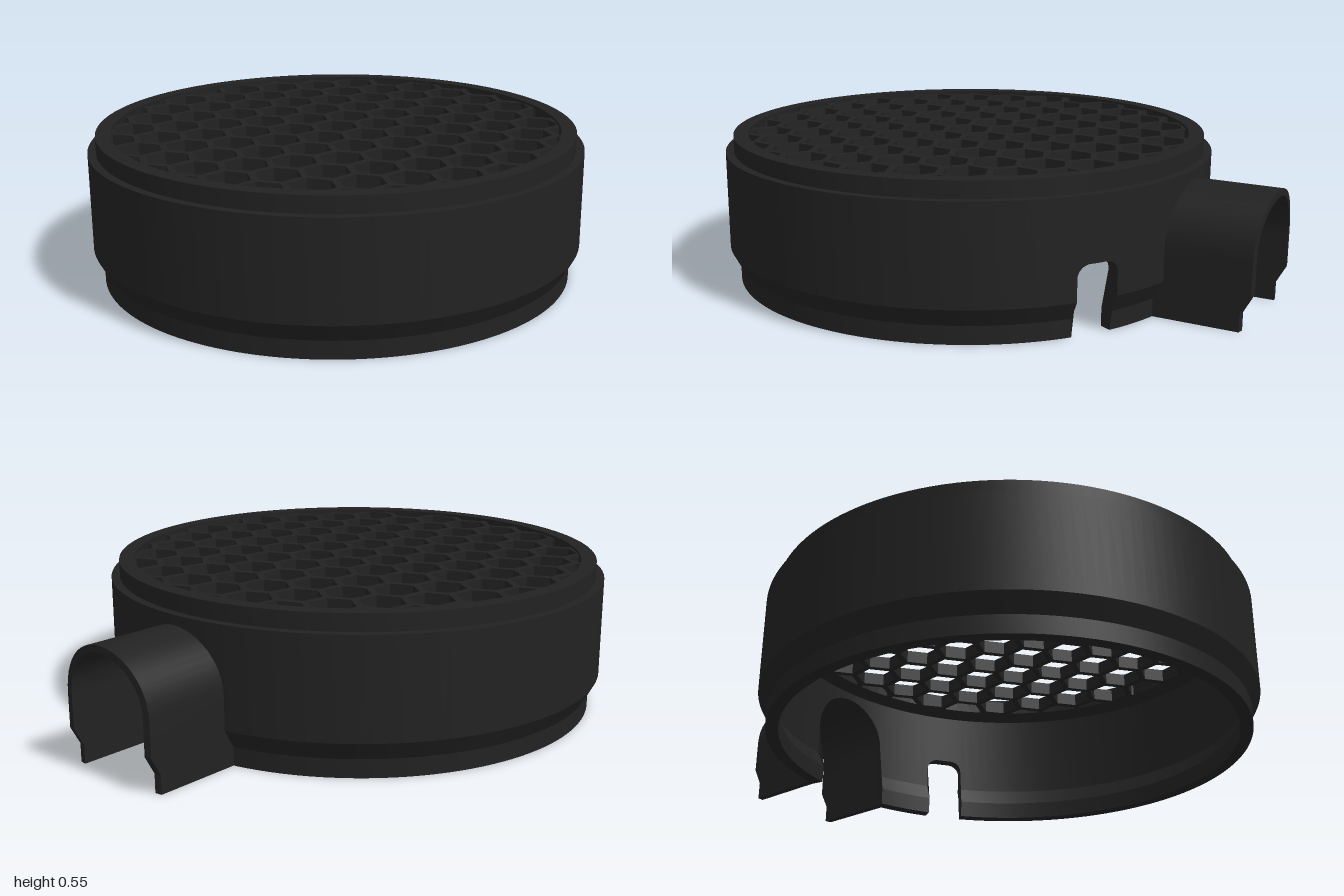
import * as THREE from 'three';
import { toCreasedNormals } from 'three/addons/utils/BufferGeometryUtils.js';

const CX = -0.09;                       // ring axis
const SPOUT = THREE.MathUtils.degToRad(36.5);
const SLOT = THREE.MathUtils.degToRad(4.8);
const ARCH_Y = 0.25, ARCH_OUT = 0.2, ARCH_IN = 0.175;

// wall profiles as [radius, height]
const OUTER = [[0.875, 0], [0.875, 0.065], [0.91, 0.13], [0.91, 0.485], [0.88, 0.485], [0.88, 0.545]];
const INNER = [[0.83, 0], [0.83, 0.065], [0.862, 0.13], [0.862, 0.455], [0.828, 0.485], [0.825, 0.545]];

function radiusAt(profile, y) {
  for (let i = 1; i < profile.length; i++) {
    const [r0, y0] = profile[i - 1], [r1, y1] = profile[i];
    if (y <= y1 && y1 > y0) return r0 + (r1 - r0) * (y - y0) / (y1 - y0);
  }
  return profile[profile.length - 1][0];
}

// skin a row of closed cross-sections, either joined in a circle or capped
function loft(loops, closed) {
  const pos = [];
  const tri = (a, b, c) => {
    const area = b.clone().sub(a).cross(c.clone().sub(a)).length();
    if (area > 1e-8) for (const p of [a, b, c]) pos.push(p.x, p.y, p.z);
  };
  const n = loops.length, m = loops[0].length;
  for (let i = 0; i < (closed ? n : n - 1); i++) {
    const A = loops[i], B = loops[(i + 1) % n];
    for (let j = 0; j < m; j++) {
      const k = (j + 1) % m;
      tri(A[j], B[j], A[k]);
      tri(B[j], B[k], A[k]);
    }
  }
  if (!closed) {
    const S = loops[0], E = loops[n - 1];
    for (let j = 1; j < m - 1; j++) {
      tri(S[0], S[j], S[j + 1]);
      tri(E[0], E[j + 1], E[j]);
    }
  }
  const g = new THREE.BufferGeometry();
  g.setAttribute('position', new THREE.Float32BufferAttribute(pos, 3));
  return toCreasedNormals(g, 0.35);
}

// ring wall, its lower edge raised to form the spout arch and the small slot
function ringGeometry() {
  const stations = [];
  const opening = (centre, halfWidth, height) => {
    const half = Math.asin(halfWidth / 0.88), steps = 20;
    stations.push([centre - half, 0]);
    for (let i = 0; i <= steps; i++) {
      const u = -Math.cos(Math.PI * i / steps);
      stations.push([centre + half * u, height(Math.abs(u) * halfWidth)]);
    }
    stations.push([centre + half, 0]);
    return half;
  };
  const archHalf = Math.asin(ARCH_IN / 0.88);
  const slotHalf = opening(SLOT, 0.075, u =>
    0.21 + Math.sqrt(Math.max(0, 0.045 ** 2 - Math.max(0, u - 0.03) ** 2)));
  for (let i = 1; i < 6; i++) {
    const a = SLOT + slotHalf, b = SPOUT - archHalf;
    stations.push([a + (b - a) * i / 6, 0]);
  }
  opening(SPOUT, ARCH_IN, u => ARCH_Y + Math.sqrt(Math.max(0, ARCH_IN ** 2 - u * u)));
  const start = SPOUT + archHalf, end = SLOT - slotHalf + Math.PI * 2;
  for (let i = 1; i < 120; i++) stations.push([start + (end - start) * i / 120, 0]);

  const loops = stations.map(([phi, h]) => {
    const clip = profile => profile.map(([r, y]) => y >= h ? [r, y] : [radiusAt(profile, h), h]);
    return [...clip(OUTER), ...clip(INNER).reverse()].map(([r, y]) =>
      new THREE.Vector3(CX + r * Math.cos(phi), y, -r * Math.sin(phi)));
  });
  return loft(loops, true);
}

// arched tunnel with open ends and open underside, its tip following the wall profile
function spoutGeometry() {
  const c = Math.cos(SPOUT), s = Math.sin(SPOUT);
  const point = (u, y, r) => {
    const a = Math.sqrt(r * r - u * u);
    return new THREE.Vector3(CX + a * c - u * s, y, -a * s - u * c);
  };
  const path = [[-1, 0, 0], [-1, 0, 0.065], [-1, 0, 0.13]];   // side, rise, base height
  for (let i = 0; i <= 24; i++) {
    const t = Math.PI * i / 24;
    path.push([-Math.cos(t), Math.sin(t), ARCH_Y]);
  }
  path.push([1, 0, 0.13], [1, 0, 0.065], [1, 0, 0]);
  const loops = path.map(([side, rise, base]) => {
    const uo = side * ARCH_OUT, yo = base + rise * ARCH_OUT;
    const ui = side * ARCH_IN, yi = base + rise * ARCH_IN;
    const tip = y => radiusAt(OUTER, y) + 0.3, root = y => radiusAt(INNER, y) + 0.015;
    return [point(uo, yo, tip(yo)), point(uo, yo, root(yo)), point(ui, yi, root(yi)), point(ui, yi, tip(yi))];
  });
  return loft(loops, false);
}

// trim a convex polygon to a circle
function clipToCircle(poly, R) {
  const sides = 96;
  for (let k = 0; k < sides && poly.length; k++) {
    const t = Math.PI * 2 * k / sides, nx = Math.cos(t), ny = Math.sin(t);
    const out = [];
    poly.forEach((p, i) => {
      const q = poly[(i + 1) % poly.length];
      const dp = p.x * nx + p.y * ny - R, dq = q.x * nx + q.y * ny - R;
      if (dp <= 0) out.push(p);
      if (dp * dq < 0) out.push(p.clone().lerp(q, dp / (dp - dq)));
    });
    poly = out;
  }
  return poly;
}

// round plate pierced by a honeycomb
function meshGeometry() {
  const pitch = 0.163, hole = (pitch - 0.024) / Math.sqrt(3);
  const plate = new THREE.Shape().absarc(0, 0, 0.845, 0, Math.PI * 2);
  for (let row = -6; row <= 6; row++) {
    for (let col = -6; col <= 6; col++) {
      const x = (col + (row & 1 ? 0.5 : 0)) * pitch, y = row * pitch * Math.sqrt(3) / 2;
      const hex = [];
      for (let i = 0; i < 6; i++) {
        const t = Math.PI / 6 + i * Math.PI / 3;
        hex.push(new THREE.Vector2(x + hole * Math.cos(t), y + hole * Math.sin(t)));
      }
      const cut = clipToCircle(hex, 0.826);
      if (cut.length > 2 && Math.abs(THREE.ShapeUtils.area(cut)) > 0.0005) plate.holes.push(new THREE.Path(cut));
    }
  }
  const g = new THREE.ExtrudeGeometry(plate, { depth: 0.05, bevelEnabled: false, curveSegments: 96 });
  return g.rotateX(-Math.PI / 2).translate(CX, 0.485, 0);
}

export function createModel() {
  const black = new THREE.MeshStandardMaterial({ color: 0x222222 });
  black.name = 'matte black';
  const model = new THREE.Group();
  model.name = 'meshCover';
  const add = (name, geometry) => {
    const mesh = new THREE.Mesh(geometry, black);
    mesh.name = name;
    model.add(mesh);
  };
  add('ringWall', ringGeometry());
  add('spout', spoutGeometry());
  add('honeycombMesh', meshGeometry());
  return model;
}
